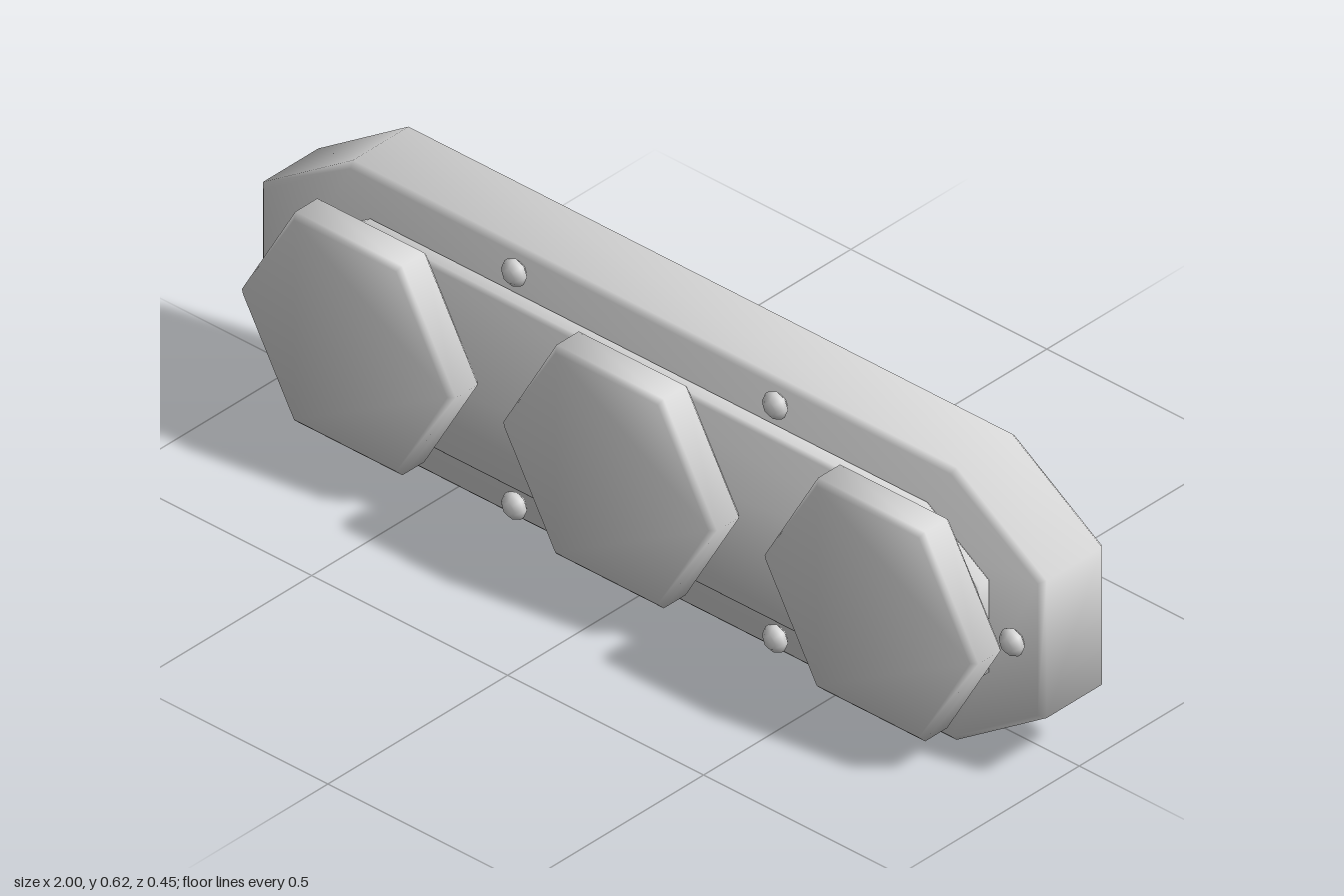
import * as THREE from 'three';
import { mergeVertices } from 'three/addons/utils/BufferGeometryUtils.js';

const MID_Y = 0.308;

// Share vertices and weight each face normal by its corner angle,
// so the small chamfers bend the shading across the whole face.
function smooth(geometry) {
  geometry.deleteAttribute('uv');
  geometry.deleteAttribute('normal');
  const merged = mergeVertices(geometry, 1e-4);
  const { position } = merged.attributes;
  const index = merged.index.array;
  const normals = Array.from({ length: position.count }, () => new THREE.Vector3());
  for (let i = 0; i < index.length; i += 3) {
    const ids = [index[i], index[i + 1], index[i + 2]];
    const corners = ids.map((id) => new THREE.Vector3().fromBufferAttribute(position, id));
    const face = new THREE.Triangle(...corners).getNormal(new THREE.Vector3());
    ids.forEach((id, k) => {
      const a = corners[(k + 1) % 3].clone().sub(corners[k]);
      const b = corners[(k + 2) % 3].clone().sub(corners[k]);
      normals[id].addScaledVector(face, a.angleTo(b));
    });
  }
  const flat = normals.flatMap((n) => n.normalize().toArray());
  merged.setAttribute('normal', new THREE.Float32BufferAttribute(flat, 3));
  return merged;
}

// Chamfered prism centred on the origin, extruded along z.
function prism(points, depth, bevel) {
  const shape = new THREE.Shape(points.map(([x, y]) => new THREE.Vector2(x, y)));
  const geometry = new THREE.ExtrudeGeometry(shape, {
    depth: depth - 2 * bevel,
    bevelEnabled: true,
    bevelSize: bevel,
    bevelOffset: -bevel,
    bevelThickness: bevel,
    bevelSegments: 1,
  });
  geometry.translate(0, 0, -(depth - 2 * bevel) / 2);
  return smooth(geometry);
}

// Rectangle with its four corners cut off by cx, cy.
function cutRect(w, h, cx, cy) {
  return [
    [w - cx, -h], [w, -h + cy], [w, h - cy], [w - cx, h],
    [-w + cx, h], [-w, h - cy], [-w, -h + cy], [-w + cx, -h],
  ];
}

function rect(w, h) {
  return [[-w, -h], [w, -h], [w, h], [-w, h]];
}

function polygon(radius, sides) {
  return Array.from({ length: sides }, (_, i) => {
    const a = (i / sides) * Math.PI * 2;
    return [radius * Math.cos(a), radius * Math.sin(a)];
  });
}

export function createModel() {
  const model = new THREE.Group();
  const metal = new THREE.MeshStandardMaterial({ color: 0xd9d9d9 });
  metal.name = 'greyMetal';

  const add = (name, geometry, x, y, z) => {
    const mesh = new THREE.Mesh(geometry, metal);
    mesh.name = name;
    mesh.position.set(x, y, z);
    model.add(mesh);
  };

  // Stacked plates
  add('basePlate', prism(cutRect(1, MID_Y, 0.23, 0.153), 0.178, 0.012), 0, MID_Y, 0.0135);
  add('innerPlate', prism(cutRect(0.87, 0.21, 0.16, 0.107), 0.043, 0.008), 0, 0.31, 0.1225);

  // Three hexagonal bosses on the front
  const hexagon = prism(polygon(0.273, 6), 0.083, 0.011);
  for (const x of [-0.667, 0, 0.667]) add('hexagonBoss', hexagon, x, 0.309, 0.184);

  // Small chamfered rivets around the rim
  const rivet = prism(polygon(0.029, 8), 0.033, 0.012);
  const rivetSpots = [
    [-0.333, 0.573], [0.333, 0.573], [-0.333, 0.046], [0.333, 0.046],
    [-0.937, 0.31], [0.937, 0.31],
  ];
  for (const [x, y] of rivetSpots) add('rivet', rivet, x, y, 0.119);

  // Long bar across the back
  const bar = prism(rect(0.042, 0.045), 1.66, 0.012);
  bar.rotateY(Math.PI / 2);
  add('backBar', bar, 0, 0.31, -0.116);

  // Bracket pairs joined by pins
  const bracket = prism(rect(0.076, 0.109), 0.045, 0.011);
  bracket.rotateY(Math.PI / 2);
  const pin = prism(polygon(0.041, 12), 0.285, 0.01);
  pin.rotateY(Math.PI / 2);
  for (const side of [-1, 1]) {
    for (const x of [0.482, 0.678]) add('bracket', bracket, side * x, 0.309, -0.148);
    add('bracketPin', pin, side * 0.58, 0.309, -0.166);
  }

  return model;
}
